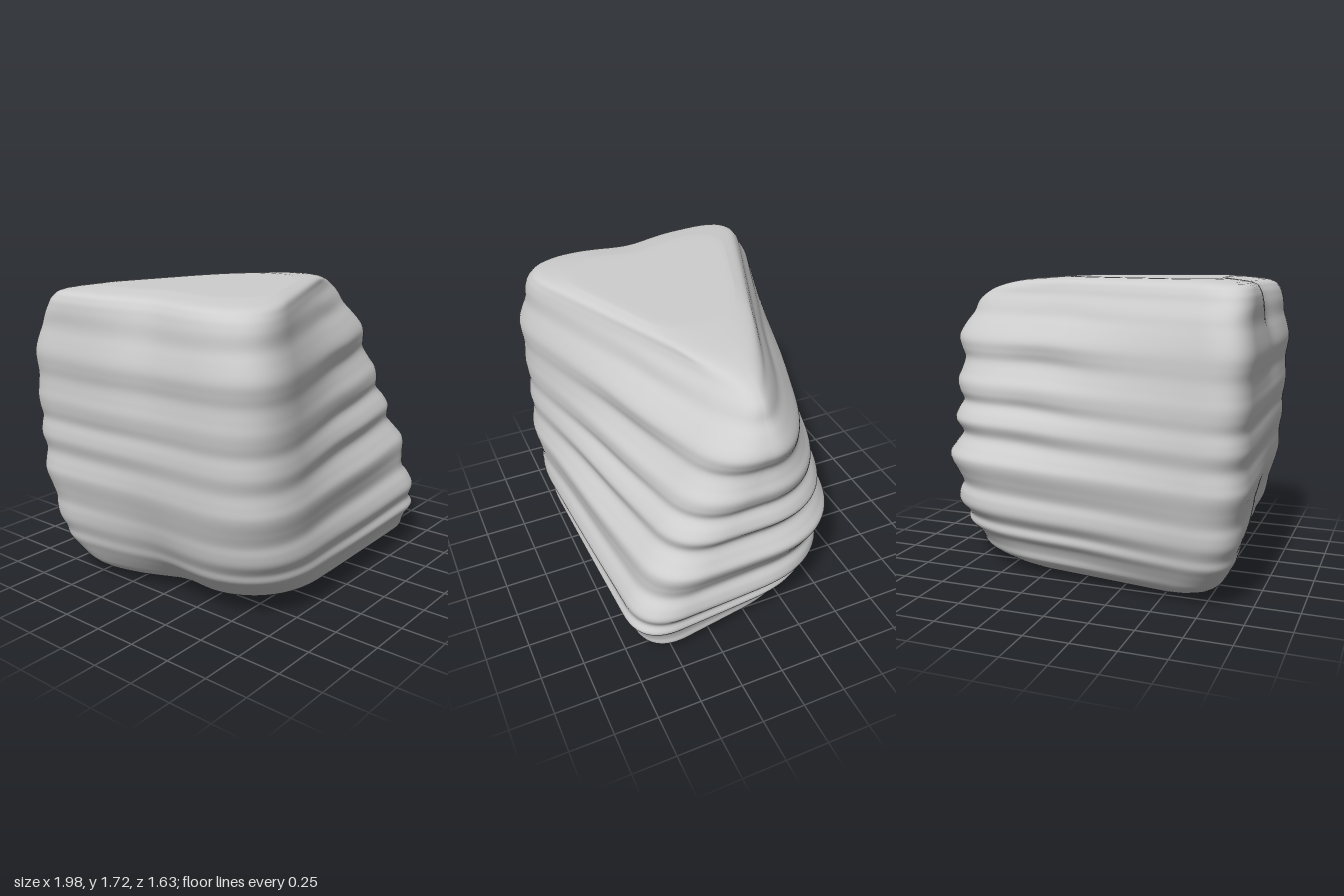
import * as THREE from 'three';

// Cross-section corners by height: y, then x,z of back-left, front-left, front-right, back-right
const SECTIONS = [
  [0.0, -0.55, -0.42, -0.35, 0.36, 0.64, 0.46, 0.42, -0.3],
  [0.03, -0.75, -0.56, -0.5, 0.58, 0.84, 0.57, 0.62, -0.36],
  [0.1, -0.85, -0.65, -0.63, 0.7, 0.92, 0.66, 0.74, -0.41],
  [0.25, -0.92, -0.75, -0.78, 0.79, 0.95, 0.72, 0.85, -0.46],
  [0.6, -0.97, -0.83, -0.91, 0.86, 0.97, 0.61, 0.93, -0.5],
  [1.0, -0.98, -0.86, -0.95, 0.88, 0.96, 0.41, 0.94, -0.37],
  [1.35, -0.99, -0.85, -0.96, 0.9, 0.97, 0.23, 0.95, -0.21],
  [1.52, -0.97, -0.81, -0.94, 0.87, 0.9, 0.13, 0.89, -0.11],
  [1.61, -0.97, -0.76, -0.92, 0.86, 0.82, 0.09, 0.81, -0.07],
  [1.66, -0.96, -0.73, -0.9, 0.84, 0.72, 0.11, 0.71, -0.09],
  [1.7, -0.92, -0.67, -0.85, 0.79, 0.53, 0.18, 0.52, -0.14],
  [1.72, -0.78, -0.54, -0.72, 0.66, 0.28, 0.23, 0.26, -0.18],
];

// Weathered ledges: height, outward offset
const LEDGES = [
  [0, 0], [0.06, 0], [0.1, 0.014], [0.15, -0.012], [0.2, -0.015], [0.25, 0.012], [0.3, -0.01],
  [0.37, 0.025], [0.43, 0.008], [0.49, -0.025], [0.56, -0.005], [0.66, 0.035], [0.72, 0.005],
  [0.79, -0.03], [0.87, 0.018], [0.92, 0.008], [0.98, -0.022], [1.04, 0.008], [1.1, 0.02],
  [1.16, -0.005], [1.23, -0.025], [1.29, 0.005], [1.35, 0.03], [1.44, 0.008], [1.5, -0.01],
  [1.58, 0.006], [1.64, 0], [1.73, 0],
];

// Smooth interpolation through a table sorted on its first column
function sample(table, y, col) {
  let i = 0;
  while (i < table.length - 2 && table[i + 1][0] < y) i++;
  const a = table[i], b = table[i + 1];
  const p = table[Math.max(i - 1, 0)], n = table[Math.min(i + 2, table.length - 1)];
  const h = b[0] - a[0], t = THREE.MathUtils.clamp((y - a[0]) / h, 0, 1);
  const m0 = ((b[col] - p[col]) / (b[0] - p[0])) * h;
  const m1 = ((n[col] - a[col]) / (n[0] - a[0])) * h;
  const t2 = t * t, t3 = t2 * t;
  return (2 * t3 - 3 * t2 + 1) * a[col] + (t3 - 2 * t2 + t) * m0
    + (3 * t2 - 2 * t3) * b[col] + (t3 - t2) * m1;
}

// Closed outline with rounded corners and the same point count at every height
const ROUND = 18, EDGE = 24, RADIUS = [0.27, 0.44, 0.25, 0.45];
function outline(y) {
  const c = [0, 1, 2, 3].map((k) =>
    new THREE.Vector2(sample(SECTIONS, y, 1 + 2 * k), sample(SECTIONS, y, 2 + 2 * k)));
  const toward = (k, m) => {
    const d = c[m].clone().sub(c[k]);
    const len = d.length();
    return c[k].clone().addScaledVector(d, Math.min(RADIUS[k], len * 0.45) / len);
  };
  const pts = [];
  for (let k = 0; k < 4; k++) {
    const next = (k + 1) % 4, prev = (k + 3) % 4;
    const bend = new THREE.QuadraticBezierCurve(toward(k, prev), c[k], toward(k, next));
    for (let i = 0; i < ROUND; i++) pts.push(bend.getPoint(i / ROUND));
    const from = toward(k, next), to = toward(next, k);
    for (let i = 0; i < EDGE; i++) pts.push(from.clone().lerp(to, i / EDGE));
  }
  return pts;
}

function boulderGeometry() {
  const pos = [], index = [];
  const levels = [];
  for (let i = 0; i <= 8; i++) levels.push(0.1 * (i / 8) ** 1.6);
  for (let i = 1; i <= 150; i++) levels.push(0.1 + (1.56 * i) / 150);
  for (let i = 1; i <= 8; i++) levels.push(1.72 - 0.06 * (1 - i / 8) ** 1.6);

  const rings = [];
  const addRing = (points) => {
    rings.push(pos.length / 3);
    for (const p of points) pos.push(...p);
  };

  // Banded sides
  const side = levels.map((y) => outline(y).map((p) => {
    const a = Math.atan2(p.y, p.x);
    const dip = 0.006 * Math.sin(a * 2 + 0.6) + 0.003 * Math.sin(a * 5 + y * 3);
    const strength = 0.62 + 0.38 * Math.cos(a) + 0.08 * Math.sin(3 * a + 4 * y);
    const push = sample(LEDGES, y + dip * Math.min(1, y * 4), 1) * strength;
    // Shallow hollow in the left-hand face, deeper near the top and the foot
    const depth = p.x < -0.3 ? 0.06 * Math.min(1, ((y - 0.9) / 0.8) ** 2) : 0;
    const hollow = depth * Math.exp(-(((p.y - 0.06) / 0.2) ** 2));
    return [p.x + push * Math.cos(a) + hollow, y, p.y + push * Math.sin(a)];
  }));

  // Bottom and top surfaces shrink to a centre point
  const inset = (ring, s, cx, y) =>
    ring.map((p) => [cx + (p[0] - cx) * s, y, p[2] * s]);
  const last = side[side.length - 1];
  for (const s of [0.02, 0.35, 0.7, 0.92]) addRing(inset(side[0], s, 0.05, 0));
  side.forEach(addRing);
  for (const s of [0.92, 0.7, 0.35, 0.02]) addRing(inset(last, s, -0.35, 1.722));

  const n = last.length;
  for (let r = 0; r < rings.length - 1; r++) {
    for (let i = 0; i < n; i++) {
      const j = (i + 1) % n;
      const a = rings[r] + i, b = rings[r] + j, c = rings[r + 1] + j, d = rings[r + 1] + i;
      index.push(a, b, c, a, c, d);
    }
  }
  // Close the two tiny centre holes
  const end = rings[rings.length - 1];
  for (let i = 1; i < n - 1; i++) {
    index.push(0, i + 1, i);
    index.push(end, end + i, end + i + 1);
  }

  const geo = new THREE.BufferGeometry();
  geo.setAttribute('position', new THREE.Float32BufferAttribute(pos, 3));
  geo.setIndex(index);
  geo.computeVertexNormals();
  return geo;
}

export function createModel() {
  const group = new THREE.Group();
  group.name = 'layeredRock';
  const stone = new THREE.MeshStandardMaterial({ color: 0xcecece });
  stone.name = 'grey stone';
  const boulder = new THREE.Mesh(boulderGeometry(), stone);
  boulder.name = 'boulder';
  group.add(boulder);
  return group;
}
